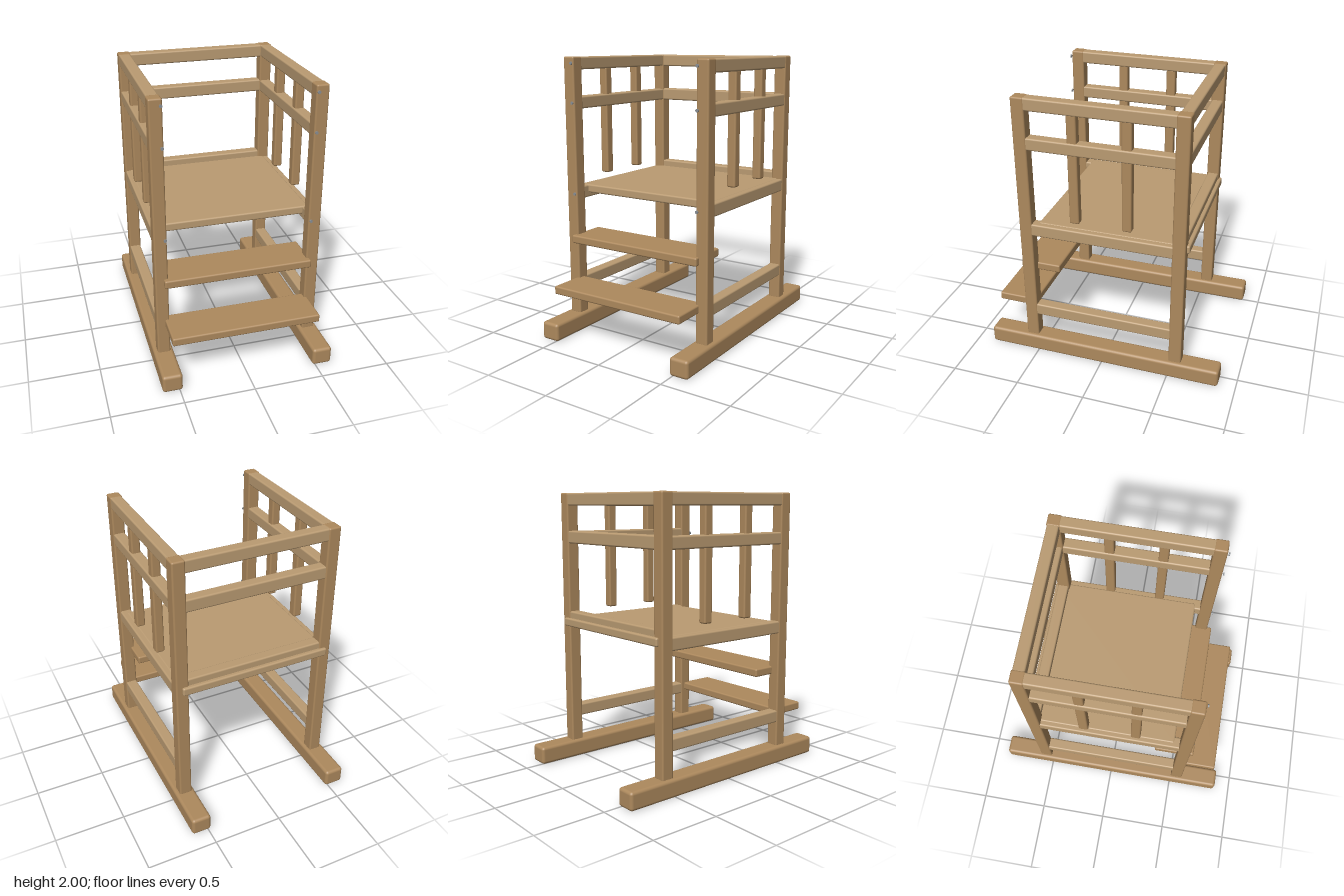
import * as THREE from 'three';
import { RoundedBoxGeometry } from 'three/addons/geometries/RoundedBoxGeometry.js';

const wood = new THREE.MeshStandardMaterial({ color: 0xad895d });
const paleWood = new THREE.MeshStandardMaterial({ color: 0xba9b72 });
const metal = new THREE.MeshStandardMaterial({ color: 0x8a8f94 });

// Softly rounded board spanning [min, max] on each axis
function board(name, [x0, x1], [y0, y1], [z0, z1], material = wood, radius = 0.012) {
  const geometry = new RoundedBoxGeometry(x1 - x0, y1 - y0, z1 - z0, 3, radius);
  const mesh = new THREE.Mesh(geometry, material);
  mesh.name = name;
  mesh.position.set((x0 + x1) / 2, (y0 + y1) / 2, (z0 + z1) / 2);
  return mesh;
}

export function createModel() {
  const chair = new THREE.Group();
  chair.name = 'highChair';

  for (const side of [-1, 1]) {
    const label = side > 0 ? 'left' : 'right';
    const span = (a, b) => (side > 0 ? [a, b] : [-b, -a]);
    const frame = new THREE.Group();
    frame.name = label + 'SideFrame';

    // Floor runner and the two tall posts
    frame.add(board('runner', span(0.478, 0.62), [0, 0.13], [-0.875, 0.875], wood, 0.022));
    frame.add(board('frontPost', span(0.502, 0.592), [0.12, 2], [0.502, 0.594]));
    frame.add(board('backPost', span(0.502, 0.592), [0.12, 2], [-0.596, -0.504]));

    // Rails running front to back
    for (const [name, y0, y1] of [
      ['lowerRail', 0.31, 0.4],
      ['seatRail', 0.985, 1.076],
      ['armRail', 1.635, 1.722],
      ['topRail', 1.91, 1.998],
    ]) {
      frame.add(board(name, span(0.506, 0.588), [y0, y1], [-0.52, 0.52], paleWood));
    }

    // Upright slats hanging from the top rail
    for (const z of [-0.186, 0.186]) {
      frame.add(board('slat', span(0.515, 0.579), [1.13, 1.92], [z - 0.034, z + 0.034]));
    }

    // Screw heads on the front post
    for (const y of [1.03, 1.68, 1.955]) {
      const screw = new THREE.Mesh(new THREE.CylinderGeometry(0.011, 0.011, 0.008, 20), metal);
      screw.name = 'screwHead';
      screw.rotation.x = Math.PI / 2;
      screw.position.set(side * 0.515, y, 0.605);
      frame.add(screw);
    }
    chair.add(frame);
  }

  // Rails across the back
  for (const [name, y0, y1] of [
    ['backSeatRail', 1.04, 1.13],
    ['backMiddleRail', 1.635, 1.726],
    ['backTopRail', 1.908, 1.998],
  ]) {
    chair.add(board(name, [-0.52, 0.52], [y0, y1], [-0.59, -0.51], paleWood));
  }

  // Seat panel, overhanging the frame slightly at the back
  chair.add(board('seat', [-0.555, 0.55], [1.02, 1.08], [-0.616, 0.464], paleWood));

  // Climbing step and footrest
  chair.add(board('upperStep', [-0.532, 0.528], [0.67, 0.73], [0.335, 0.63]));
  chair.add(board('lowerStep', [-0.532, 0.528], [0.34, 0.4], [0.535, 0.83]));

  return chair;
}
